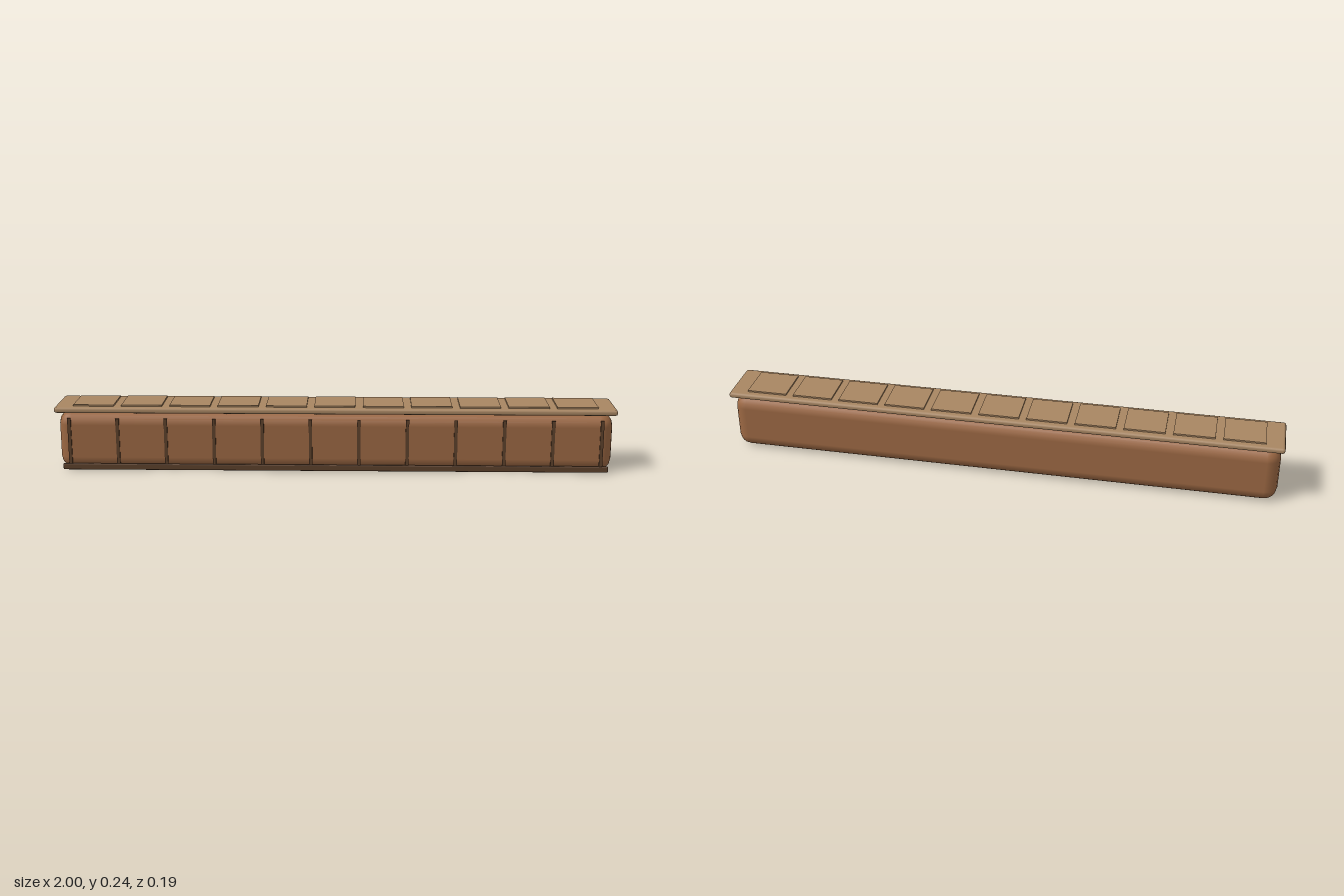
import * as THREE from 'three';
import { RoundedBoxGeometry } from 'three/addons/geometries/RoundedBoxGeometry.js';

const material = (name, color) => {
  const m = new THREE.MeshStandardMaterial({ color });
  m.name = name;
  return m;
};

export function createModel() {
  const clay = material('clay brown', 0x9c6843);
  const sand = material('sandy tan', 0xa88662);
  const dark = material('dark brown', 0x5c402b);

  const model = new THREE.Group();
  model.name = 'longBench';

  const add = (name, geometry, mat, x, y, z, parent = model) => {
    const mesh = new THREE.Mesh(geometry, mat);
    mesh.name = name;
    mesh.position.set(x, y, z);
    parent.add(mesh);
    return mesh;
  };
  const group = (name) => {
    const g = new THREE.Group();
    g.name = name;
    model.add(g);
    return g;
  };

  // Long rounded body
  add('body', new RoundedBoxGeometry(1.98, 0.21, 0.178, 2, 0.046), clay, 0, 0.105, -0.001);

  // Overhanging top with softened rim
  add('topSlab', new RoundedBoxGeometry(2, 0.021, 0.19, 1, 0.009), sand, 0, 0.2195, 0);

  // Thin raised panels along the top
  const panels = group('topPanels');
  const panelGeometry = new THREE.BoxGeometry(0.145, 0.006, 0.142);
  for (let i = 0; i < 11; i++) {
    add('topPanel', panelGeometry, sand, (i - 5) * 0.1722, 0.2325, 0, panels);
  }

  // Upright battens along the front
  const battens = group('frontBattens');
  const battenGeometry = new THREE.BoxGeometry(0.012, 0.18, 0.006);
  for (let i = 0; i < 12; i++) {
    add('frontBatten', battenGeometry, dark, (i - 5.5) * 0.1722, 0.1, 0.09, battens);
  }

  // Rail along the foot of the front
  add('bottomRail', new RoundedBoxGeometry(1.95, 0.023, 0.01, 1, 0.0045), dark, 0, 0.0125, 0.091);

  return model;
}
